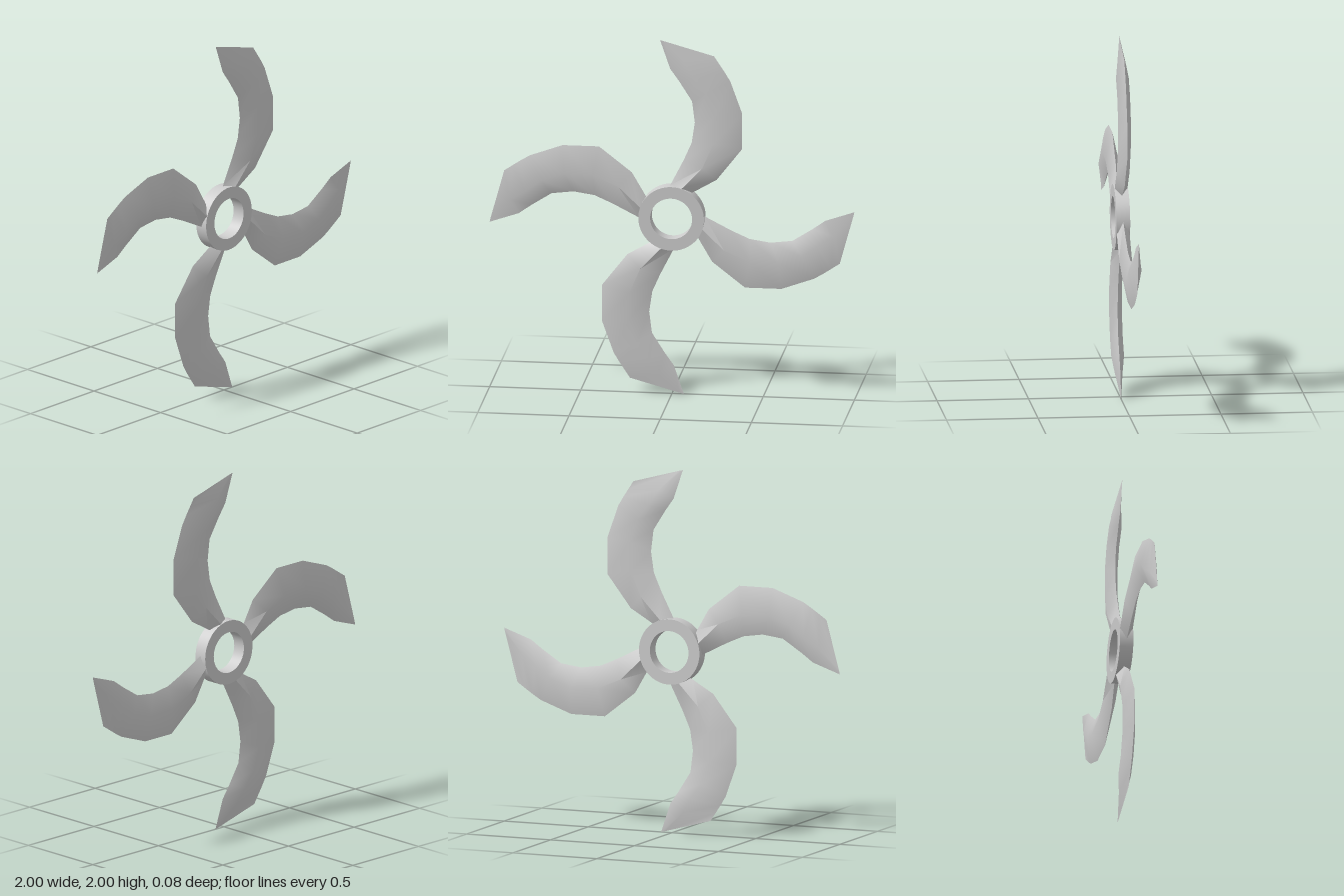
import * as THREE from 'three';
import { toCreasedNormals } from 'three/addons/utils/BufferGeometryUtils.js';

const material = new THREE.MeshStandardMaterial({ color: 0xcccccc });

// Each station from hub to tip: concave edge, ridge, convex edge (x, y), ridge half thickness
const stations = [
  [[-0.02, 0.15], [0.03, 0.145], [0.08, 0.125], 0.035],
  [[-0.01, 0.18], [0.065, 0.18], [0.125, 0.15], 0.035],
  [[0.064, 0.325], [0.17, 0.29], [0.245, 0.22], 0.035],
  [[0.108, 0.425], [0.23, 0.43], [0.385, 0.4], 0.035],
  [[0.125, 0.54], [0.235, 0.59], [0.385, 0.6], 0.035],
  [[0.11, 0.66], [0.19, 0.715], [0.32, 0.78], 0.035],
  [[0.04, 0.77], [0.125, 0.8], [0.29, 0.83], 0.035],
  [[-0.01, 0.84], [0.07, 0.885], [0.26, 0.875], 0.021],
  [[-0.065, 1.0], [-0.04, 0.994], [0.23, 0.92], 0.0],
];

// Diamond cross-sections lofted along the curved blade
function bladeGeometry() {
  const pos = [];
  const index = [];
  stations.forEach(([inner, ridge, outer, t], i) => {
    pos.push(...inner, 0, ...ridge, t, ...outer, 0, ...ridge, -t);
    if (i === 0) return;
    for (let k = 0; k < 4; k++) {
      const a = (i - 1) * 4 + k;
      const b = (i - 1) * 4 + ((k + 1) % 4);
      index.push(a, b, b + 4, a, b + 4, a + 4);
    }
  });
  const g = new THREE.BufferGeometry();
  g.setAttribute('position', new THREE.Float32BufferAttribute(pos, 3));
  g.setIndex(index);
  return toCreasedNormals(g, 0.7);
}

// Flat ring with a square section
function hubGeometry() {
  const h = 0.0375;
  const profile = [[0.115, -h], [0.18, -h], [0.18, h], [0.115, h], [0.115, -h]]
    .map(([r, y]) => new THREE.Vector2(r, y));
  const g = new THREE.LatheGeometry(profile, 64);
  g.rotateX(Math.PI / 2);
  return toCreasedNormals(g, 0.6);
}

export function createModel() {
  const model = new THREE.Group();
  model.name = 'fourBladeRotor';

  const rotor = new THREE.Group();
  rotor.name = 'rotor';
  rotor.position.y = 1;
  model.add(rotor);

  const hub = new THREE.Mesh(hubGeometry(), material);
  hub.name = 'hubRing';
  rotor.add(hub);

  // Four identical blades, a quarter turn apart
  const geometry = bladeGeometry();
  for (let i = 0; i < 4; i++) {
    const blade = new THREE.Mesh(geometry, material);
    blade.name = `blade${i + 1}`;
    blade.rotation.z = (i * Math.PI) / 2;
    rotor.add(blade);
  }
  return model;
}
